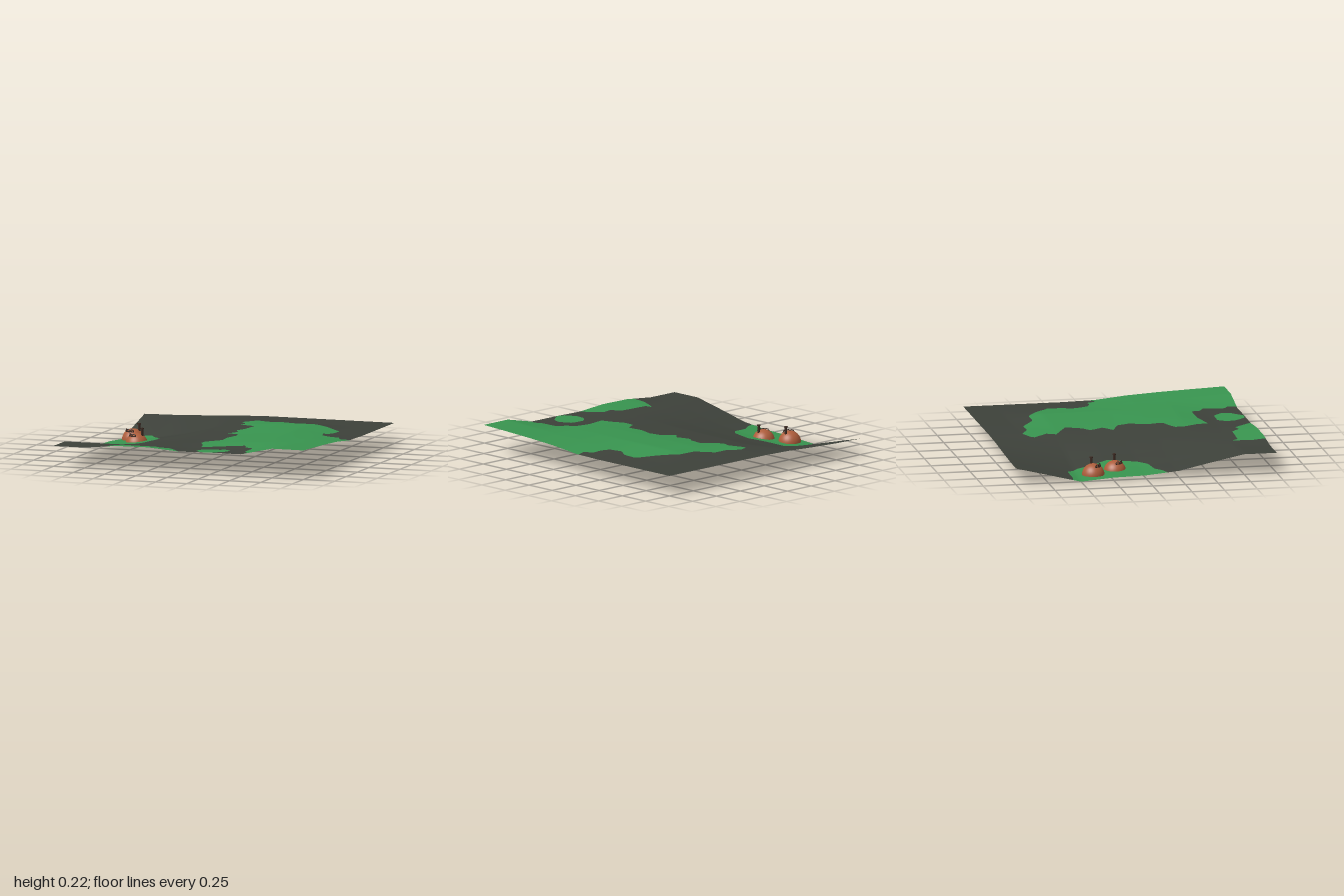
import * as THREE from 'three';
import { mergeVertices } from 'three/addons/utils/BufferGeometryUtils.js';

const BASE = 0.155;

// Depth of the hollow across x, and its share along z (one value every 0.25)
const PIT_X = [0.155, 0.135, 0.09, 0.03, 0, 0, 0, 0, 0];
const PIT_Z = [0.2, 0.6, 1, 0.87, 0.83, 0.68, 0.33, 0, 0];
// Hill heights in thousandths: rows run back to front, columns x = -1..1
const HILLS = [
  [0, 0, 0, 0, 0, 0, 0, 0, 0],
  [0, 0, 0, 0, 3, 3, 0, 0, 0],
  [0, 0, 0, 0, 8, 28, 35, 8, 0],
  [0, 0, 0, 0, 0, 25, 35, 8, 0],
  [0, 0, 0, 0, 0, 20, 34, 22, 5],
  [0, 0, 0, 0, 0, 24, 35, 36, 30],
  [0, 0, 0, 0, 4, 22, 36, 44, 45],
  [0, 0, 0, 0, 0, 2, 20, 55, 56],
  [0, 0, 25, 27, 8, 12, 12, 67, 66],
];

// Outlines of the grass patches as x, z pairs
const PATCHES = [
  [[-1.1, -0.6], [-0.95, -0.55], [-0.78, -0.56], [-0.7, -0.47], [-0.66, -0.34], [-0.59, -0.22],
    [-0.66, 0], [-0.73, 0.07], [-0.86, 0.09], [-0.93, 0.14], [-1.1, 0.2]],
  [[-0.11, -0.69], [0, -0.75], [0.11, -0.69], [0.22, -0.7], [0.35, -0.6], [0.5, -0.6], [0.62, -0.52],
    [0.78, -0.4], [0.77, -0.28], [0.72, -0.2], [0.75, -0.1], [0.82, -0.07], [0.9, -0.07], [0.92, 0],
    [1.1, -0.05], [1.1, 1.1], [0.5, 1.1], [0.53, 0.93], [0.49, 0.9], [0.5, 0.74], [0.42, 0.69],
    [0.41, 0.63], [0.25, 0.64], [0.07, 0.69], [0.05, 0.6], [0, 0.5], [0, 0.42], [0.06, 0.38],
    [0.12, 0.35], [0.1, 0.22], [0.14, 0.1], [0.11, 0], [0, -0.05], [0.07, -0.12], [0.02, -0.22],
    [0.07, -0.28], [0.1, -0.4], [-0.06, -0.5], [-0.03, -0.57]],
  [[-0.57, 1.1], [-0.58, 0.9], [-0.53, 0.75], [-0.5, 0.8], [-0.25, 0.81], [-0.2, 0.87],
    [-0.12, 0.86], [0, 1], [0, 1.1]],
  [[0.11, 0.84], [0.16, 0.78], [0.3, 0.78], [0.36, 0.85], [0.34, 0.92], [0.24, 1], [0.17, 0.99],
    [0.11, 0.91]],
];

// Ground height, blended between the grid nodes
function heightAt(x, z) {
  const u = (x + 1) * 4, v = (z + 1) * 4;
  const i = Math.min(7, Math.floor(u)), j = Math.min(7, Math.floor(v));
  const node = (a, b) => BASE - PIT_X[a] * PIT_Z[b] + HILLS[b][a] / 1000;
  const lerp = THREE.MathUtils.lerp;
  return lerp(lerp(node(i, j), node(i + 1, j), u - i), lerp(node(i, j + 1), node(i + 1, j + 1), u - i), v - j);
}

// Signed distance to an outline: positive inside
function insideDistance(poly, x, z) {
  let inside = false, best = Infinity;
  poly.forEach(([ax, az], k) => {
    const [bx, bz] = poly[(k + 1) % poly.length];
    if ((az > z) !== (bz > z) && x < ((bx - ax) * (z - az)) / (bz - az) + ax) inside = !inside;
    const dx = bx - ax, dz = bz - az;
    const t = THREE.MathUtils.clamp(((x - ax) * dx + (z - az) * dz) / (dx * dx + dz * dz), 0, 1);
    best = Math.min(best, Math.hypot(x - ax - t * dx, z - az - t * dz));
  });
  return inside ? best : -best;
}

// Ground sheet, keeping only the grass side (+1) or the earth side (-1)
function groundGeometry(grid, n, side) {
  const out = [];
  const addClipped = (tri) => {
    const kept = [];
    tri.forEach((p, k) => {
      const q = tri[(k + 1) % 3];
      const a = p.d * side, b = q.d * side;
      if (a >= 0) kept.push(p.pos);
      if ((a > 0 && b < 0) || (a < 0 && b > 0)) kept.push(p.pos.clone().lerp(q.pos, a / (a - b)));
    });
    for (let k = 1; k + 1 < kept.length; k++) {
      for (const p of [kept[0], kept[k], kept[k + 1]]) out.push(p.x, p.y, p.z);
    }
  };
  for (let j = 0; j < n; j++) {
    for (let i = 0; i < n; i++) {
      const a = grid[j][i], b = grid[j][i + 1], c = grid[j + 1][i], d = grid[j + 1][i + 1];
      addClipped([a, c, b]);
      addClipped([b, c, d]);
    }
  }
  const geo = new THREE.BufferGeometry();
  geo.setAttribute('position', new THREE.Float32BufferAttribute(out, 3));
  const merged = mergeVertices(geo, 1e-5);
  merged.computeVertexNormals();
  return merged;
}

function material(color) {
  return new THREE.MeshStandardMaterial({ color, side: THREE.DoubleSide });
}

function addMesh(parent, name, geo, mat, x = 0, y = 0, z = 0) {
  const mesh = new THREE.Mesh(geo, mat);
  mesh.name = name;
  mesh.position.set(x, y, z);
  parent.add(mesh);
  return mesh;
}

// Round hut with a chimney and small arches on its front left
function makeHut(clay, dark) {
  const hut = new THREE.Group();
  const r = 0.085;
  addMesh(hut, 'dome', new THREE.SphereGeometry(r, 32, 12, 0, Math.PI * 2, 0, Math.PI / 2), clay);
  addMesh(hut, 'chimney', new THREE.CylinderGeometry(0.009, 0.009, 0.06, 10), dark, 0.045, 0.092, -0.005);
  addMesh(hut, 'chimneyCap', new THREE.CylinderGeometry(0.014, 0.014, 0.008, 10), dark, 0.045, 0.122, -0.005);
  for (const angle of [-1.1, -0.5, 0.1]) {
    const arch = addMesh(hut, 'arch', new THREE.TorusGeometry(0.016, 0.004, 6, 12, Math.PI), dark,
      Math.sin(angle) * 0.05, 0.066, Math.cos(angle) * 0.05);
    arch.rotation.y = angle;
    const sill = addMesh(hut, 'archPosts', new THREE.BoxGeometry(0.036, 0.008, 0.012), dark,
      Math.sin(angle) * 0.05, 0.066, Math.cos(angle) * 0.05);
    sill.rotation.y = angle;
  }
  return hut;
}

export function createModel() {
  const model = new THREE.Group();
  model.name = 'landscape';

  // Sample the ground
  const n = 80, grid = [];
  for (let j = 0; j <= n; j++) {
    grid.push([]);
    for (let i = 0; i <= n; i++) {
      const x = (i / n) * 2 - 1, z = (j / n) * 2 - 1;
      grid[j].push({
        pos: new THREE.Vector3(x, heightAt(x, z), z),
        d: Math.max(...PATCHES.map((p) => insideDistance(p, x, z))),
      });
    }
  }
  addMesh(model, 'earth', groundGeometry(grid, n, -1), material(0x3d413a));
  addMesh(model, 'grass', groundGeometry(grid, n, 1), material(0x38944f));

  // Huts in the hollow
  const clay = material(0xad5d3b), dark = material(0x3a2820);
  for (const [x, y, z, turn] of [[-0.865, 0.02, -0.38, 0], [-0.77, 0.015, -0.195, -0.2]]) {
    const hut = makeHut(clay, dark);
    hut.name = 'hut';
    hut.position.set(x, y, z);
    hut.rotation.y = turn;
    model.add(hut);
  }
  return model;
}
